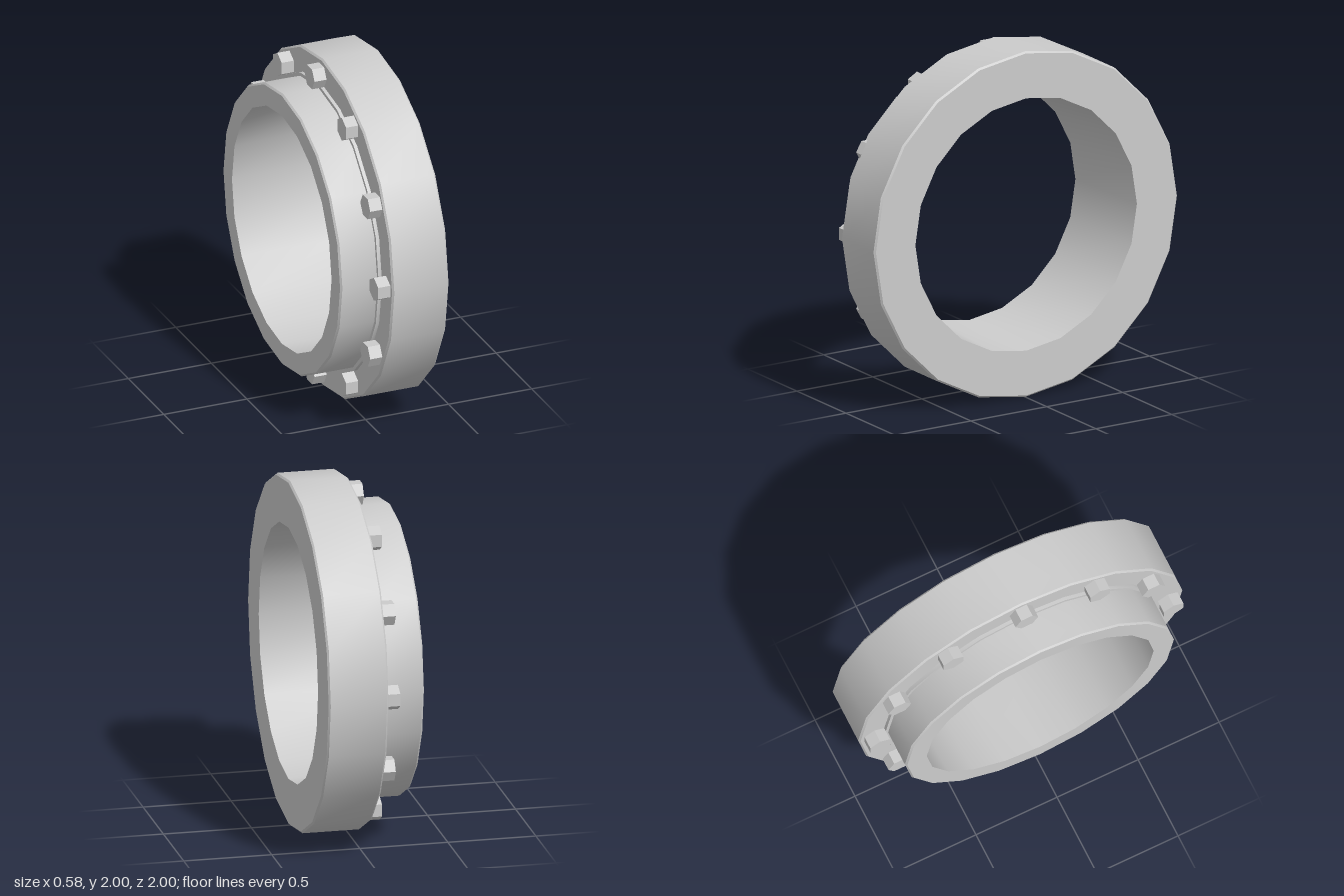
import * as THREE from 'three';
import { toCreasedNormals } from 'three/addons/utils/BufferGeometryUtils.js';

export function createModel() {
  const group = new THREE.Group();
  const material = new THREE.MeshStandardMaterial({ color: 0xcccccc });

  // Ring cross-section as (radius, position along the axis), running round the closed outline
  const profile = [
    [0.70, -0.29],
    [0.82, -0.29], [0.83, -0.28],                            // neck rim bevel
    [0.83, -0.07], [0.85, -0.07], [0.85, -0.05],             // neck and thin collar
    [0.99, -0.05], [1.0, -0.04], [1.0, 0.28], [0.99, 0.29],  // flange with bevelled edges
    [0.73, 0.29], [0.70, -0.29],                             // slightly tapered bore
  ].map(([r, a]) => new THREE.Vector2(r, a));
  const ringGeometry = toCreasedNormals(new THREE.LatheGeometry(profile, 20), 0.5);
  ringGeometry.rotateZ(-Math.PI / 2); // axis along x
  const ring = new THREE.Mesh(ringGeometry, material);
  ring.name = 'flangedRing';
  ring.position.y = 1;
  group.add(ring);

  // Twelve hexagonal bolt heads on the back of the flange, one flat facing outward
  const boltMaterial = new THREE.MeshStandardMaterial({ color: 0xcccccc, flatShading: true });
  const boltGeometry = new THREE.CylinderGeometry(0.07, 0.07, 0.08, 6);
  boltGeometry.rotateY(Math.PI / 6).rotateZ(-Math.PI / 2).translate(-0.083, 0, 0.905);
  const bolts = new THREE.Group();
  bolts.name = 'bolts';
  bolts.position.y = 1;
  for (let i = 0; i < 12; i++) {
    const bolt = new THREE.Mesh(boltGeometry, boltMaterial);
    bolt.name = `bolt${i + 1}`;
    bolt.rotation.x = (i * Math.PI) / 6;
    bolts.add(bolt);
  }
  group.add(bolts);

  return group;
}
